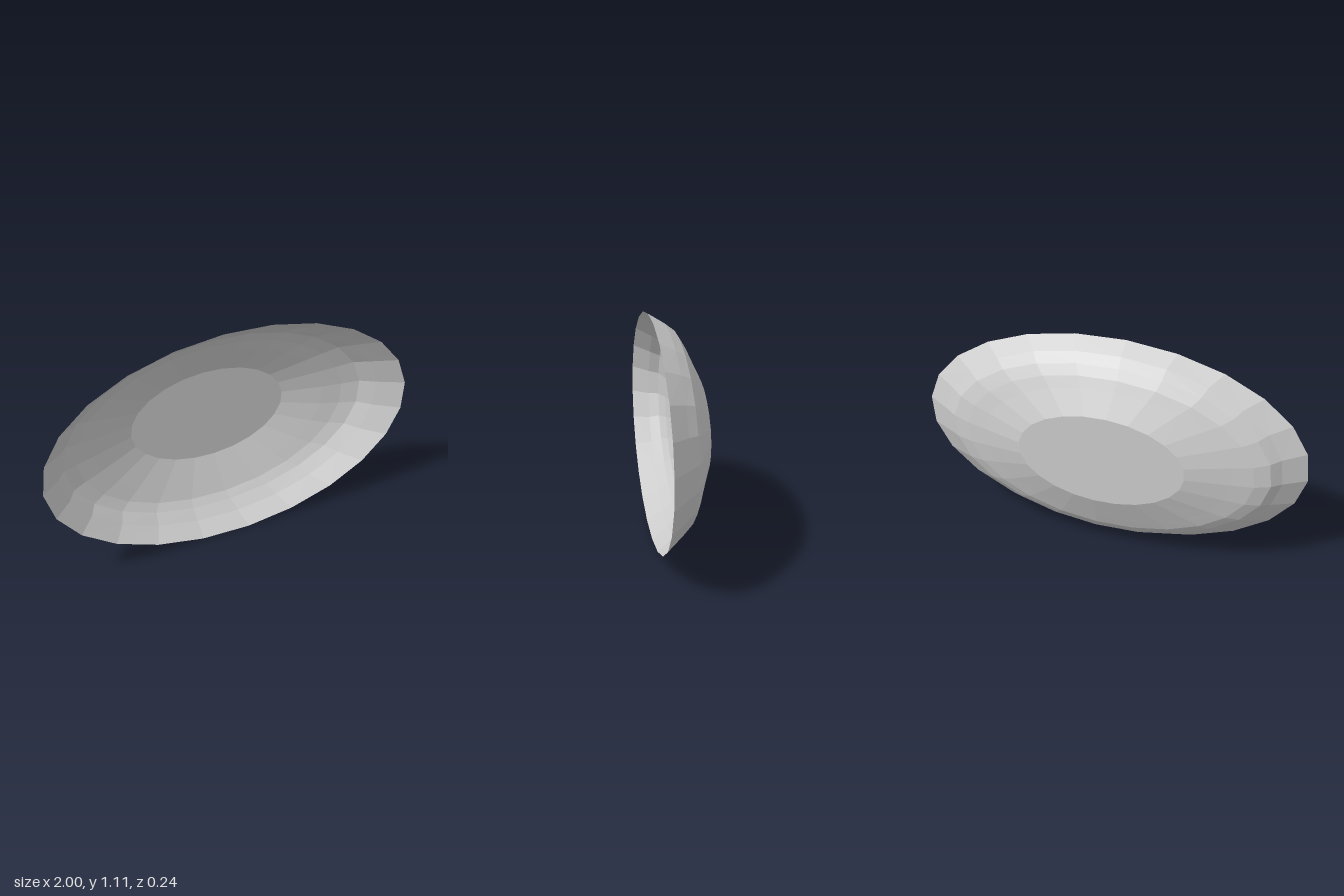
import * as THREE from 'three';

const SIDES = 24;
const PHASE = 0.073; // slight turn of the facets about the dish axis

// Elliptical cross-sections from rim to floor: [z, centreX, centreY, radiusX, radiusY]
const RINGS = [
  [0.122, 0, 0.559, 1.003, 0.556],
  [0.04, -0.01, 0.562, 0.885, 0.503],
  [-0.01, -0.022, 0.566, 0.828, 0.46],
  [-0.04, -0.03, 0.56, 0.745, 0.418],
  [-0.064, -0.03, 0.561, 0.645, 0.365],
  [-0.122, -0.026, 0.567, 0.427, 0.238],
];

function ringPoint([z, cx, cy, rx, ry], i) {
  const a = PHASE + (i / SIDES) * Math.PI * 2;
  return [cx + rx * Math.cos(a), cy + ry * Math.sin(a), z];
}

function meshFrom(name, positions, indices, material) {
  const geometry = new THREE.BufferGeometry();
  geometry.setAttribute('position', new THREE.Float32BufferAttribute(positions, 3));
  geometry.setIndex(indices);
  geometry.computeVertexNormals();
  const mesh = new THREE.Mesh(geometry, material);
  mesh.name = name;
  return mesh;
}

export function createModel() {
  const group = new THREE.Group();
  group.name = 'ovalDish';
  const material = new THREE.MeshStandardMaterial({
    color: 0xcccccc, flatShading: true, side: THREE.DoubleSide,
  });

  // Sloping wall, lofted through the rings
  const wall = [];
  const wallFaces = [];
  RINGS.forEach((ring, r) => {
    for (let i = 0; i < SIDES; i++) {
      wall.push(...ringPoint(ring, i));
      if (r === RINGS.length - 1) continue;
      const a = r * SIDES + i;
      const b = r * SIDES + ((i + 1) % SIDES);
      wallFaces.push(a, b, b + SIDES, a, b + SIDES, a + SIDES);
    }
  });
  group.add(meshFrom('dishWall', wall, wallFaces, material));

  // Flat oval floor
  const last = RINGS[RINGS.length - 1];
  const floor = [last[1], last[2], last[0]];
  const floorFaces = [];
  for (let i = 0; i < SIDES; i++) {
    floor.push(...ringPoint(last, i));
    floorFaces.push(0, 1 + i, 1 + ((i + 1) % SIDES));
  }
  group.add(meshFrom('dishFloor', floor, floorFaces, material));

  return group;
}
